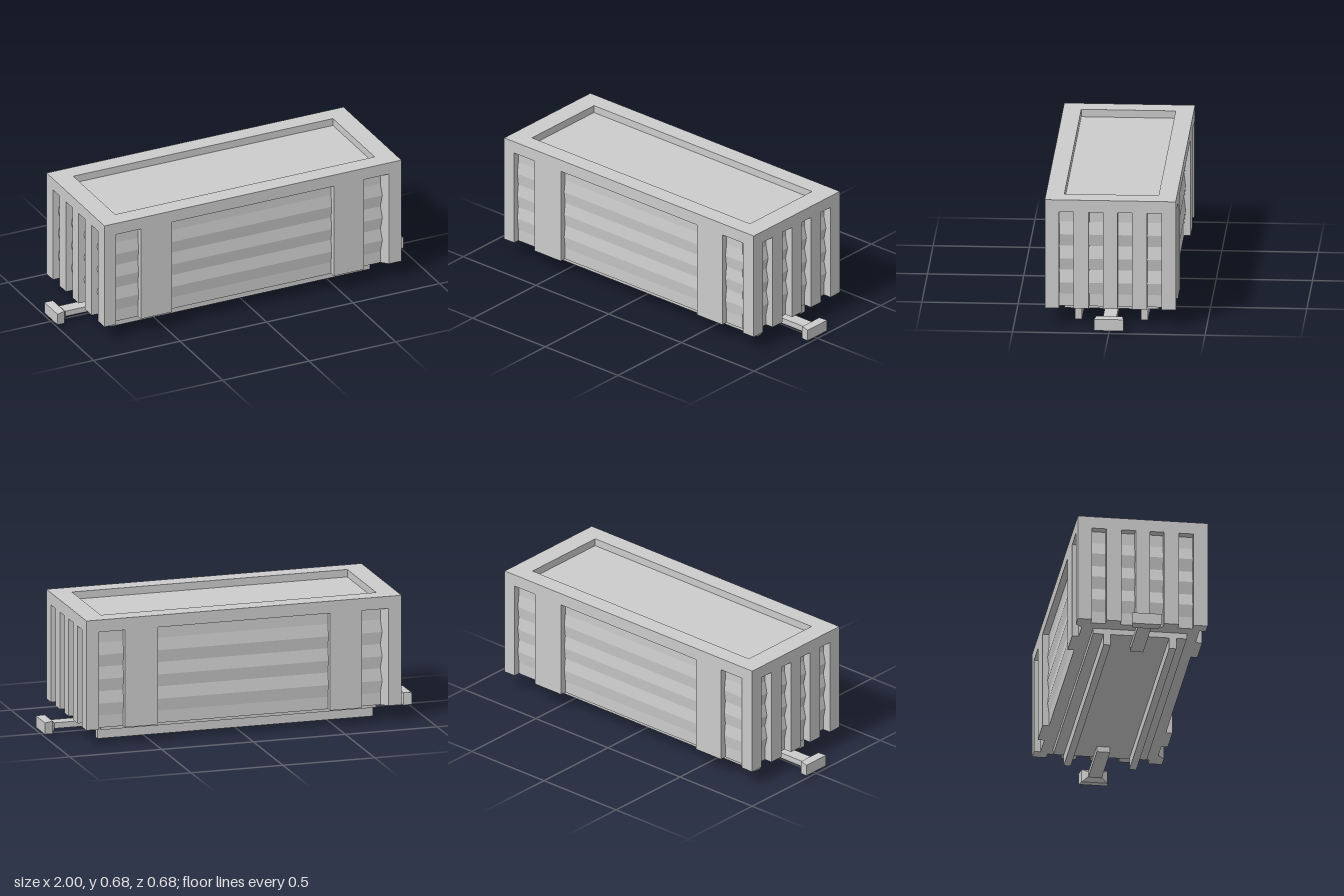
import * as THREE from 'three';

const HX = 0.858, HZ = 0.34;              // body half length and half width
const BASE = 0.09, HEAD = 0.612, ROOF = 0.637, TOP = 0.677;
const SIDE = { deep: 0.034, proud: 0.026 }; // recess depths of the corrugation
const END = { deep: 0.045, proud: 0.031 };

const material = new THREE.MeshStandardMaterial({ color: 0xcccccc, flatShading: true });

function add(group, name, geometry) {
  const mesh = new THREE.Mesh(geometry, material);
  mesh.name = name;
  group.add(mesh);
  return mesh;
}

// Box given by its limits on each axis
function block(group, name, x0, x1, y0, y1, z0, z1) {
  const g = new THREE.BoxGeometry(x1 - x0, y1 - y0, z1 - z0);
  g.translate((x0 + x1) / 2, (y0 + y1) / 2, (z0 + z1) / 2);
  return add(group, name, g);
}

// Zigzag sheet facing +x, extruded along z from a to b
function corrugated(face, depth, a, b) {
  const pts = [[face - 0.06, BASE]];
  for (let i = 0; i <= 8; i++) {
    const isProud = i % 2 === 0 && i > 0 && i < 8;
    pts.push([face - (isProud ? depth.proud : depth.deep), BASE + (HEAD - BASE) * i / 8]);
  }
  pts.push([face - 0.06, HEAD]);
  const shape = new THREE.Shape(pts.map(p => new THREE.Vector2(...p)));
  const g = new THREE.ExtrudeGeometry(shape, { depth: b - a, bevelEnabled: false });
  return g.translate(0, 0, a);
}

// Coupler head lofted through rectangular sections along x
function couplerHead() {
  const sections = [[0.935, 0.038, 0.03, 0.06], [0.955, 0.068, 0.01, 0.08], [1.0, 0.077, 0.015, 0.076]];
  const pos = [], index = [];
  sections.forEach(([x, w, lo, hi]) => pos.push(x, lo, w, x, lo, -w, x, hi, -w, x, hi, w));
  for (let s = 0; s < 2; s++) {
    for (let k = 0; k < 4; k++) {
      const a = s * 4 + k, b = s * 4 + (k + 1) % 4;
      index.push(a, b, b + 4, a, b + 4, a + 4);
    }
  }
  index.push(0, 2, 1, 0, 3, 2, 8, 9, 10, 8, 10, 11);
  const g = new THREE.BufferGeometry();
  g.setAttribute('position', new THREE.Float32BufferAttribute(pos, 3));
  g.setIndex(index);
  const flat = g.toNonIndexed();
  flat.computeVertexNormals();
  return flat;
}

// One long side, one end and one coupler; used twice, turned by half a circle
function buildHalf(name) {
  const half = new THREE.Group();
  half.name = name;

  // Long side: posts between three corrugated panels
  const zIn = HZ - SIDE.deep - 0.005;
  [[-HX, -0.79], [-0.648, -0.468], [0.468, 0.642], [0.786, HX]].forEach(([a, b]) =>
    block(half, 'sidePost', a, b, BASE, HEAD, zIn, HZ));
  [[-0.79, -0.648], [-0.468, 0.468], [0.642, 0.786]].forEach(([a, b]) => {
    const g = corrugated(HZ, SIDE, -b, -a);
    g.rotateY(-Math.PI / 2);
    add(half, 'sidePanel', g);
  });

  // Sloping jamb beside the last side panel
  const jamb = new THREE.Shape([
    new THREE.Vector2(0.748, -zIn), new THREE.Vector2(0.786, -HZ), new THREE.Vector2(0.786, -zIn)]);
  const jambGeometry = new THREE.ExtrudeGeometry(jamb, { depth: HEAD - BASE, bevelEnabled: false });
  jambGeometry.rotateX(-Math.PI / 2);
  jambGeometry.translate(0, BASE, 0);
  add(half, 'slopingJamb', jambGeometry);

  // End: posts between four corrugated grooves
  const xIn = HX - END.deep - 0.005;
  const edges = [-HZ, -0.266, -0.19, -0.112, -0.037, 0.037, 0.112, 0.19, 0.266, HZ];
  for (let i = 0; i < edges.length - 1; i++) {
    if (i % 2 === 0) block(half, 'endPost', xIn, HX, BASE, HEAD, edges[i], edges[i + 1]);
    else add(half, 'endPanel', corrugated(HX, END, edges[i], edges[i + 1]));
  }

  // Coupler and rail under the floor
  block(half, 'couplerBar', 0.62, 0.95, 0.03, 0.0605, -0.035, 0.035);
  add(half, 'couplerHead', couplerHead());
  block(half, 'underRail', -0.75, 0.75, 0, 0.062, 0.153, 0.19);
  return half;
}

export function createModel() {
  const model = new THREE.Group();
  model.name = 'boxWagon';

  // Inner body, closing the floor and the sunken roof
  block(model, 'bodyCore', -HX + END.deep, HX - END.deep, BASE, ROOF, -HZ + SIDE.deep, HZ - SIDE.deep);
  block(model, 'floorPlate', -0.75, 0.75, 0.06, BASE + 0.002, -0.245, 0.245);

  // Raised rim around the roof
  const rect = (Type, x, z) => new Type([[-x, -z], [x, -z], [x, z], [-x, z]].map(p => new THREE.Vector2(...p)));
  const rim = rect(THREE.Shape, HX, HZ);
  rim.holes.push(rect(THREE.Path, 0.75, 0.245));
  const rimGeometry = new THREE.ExtrudeGeometry(rim, { depth: TOP - HEAD, bevelEnabled: false });
  rimGeometry.rotateX(-Math.PI / 2);
  rimGeometry.translate(0, HEAD, 0);
  add(model, 'roofRim', rimGeometry);

  const front = buildHalf('frontHalf');
  const back = buildHalf('backHalf');
  back.rotation.y = Math.PI;
  model.add(front, back);
  return model;
}
